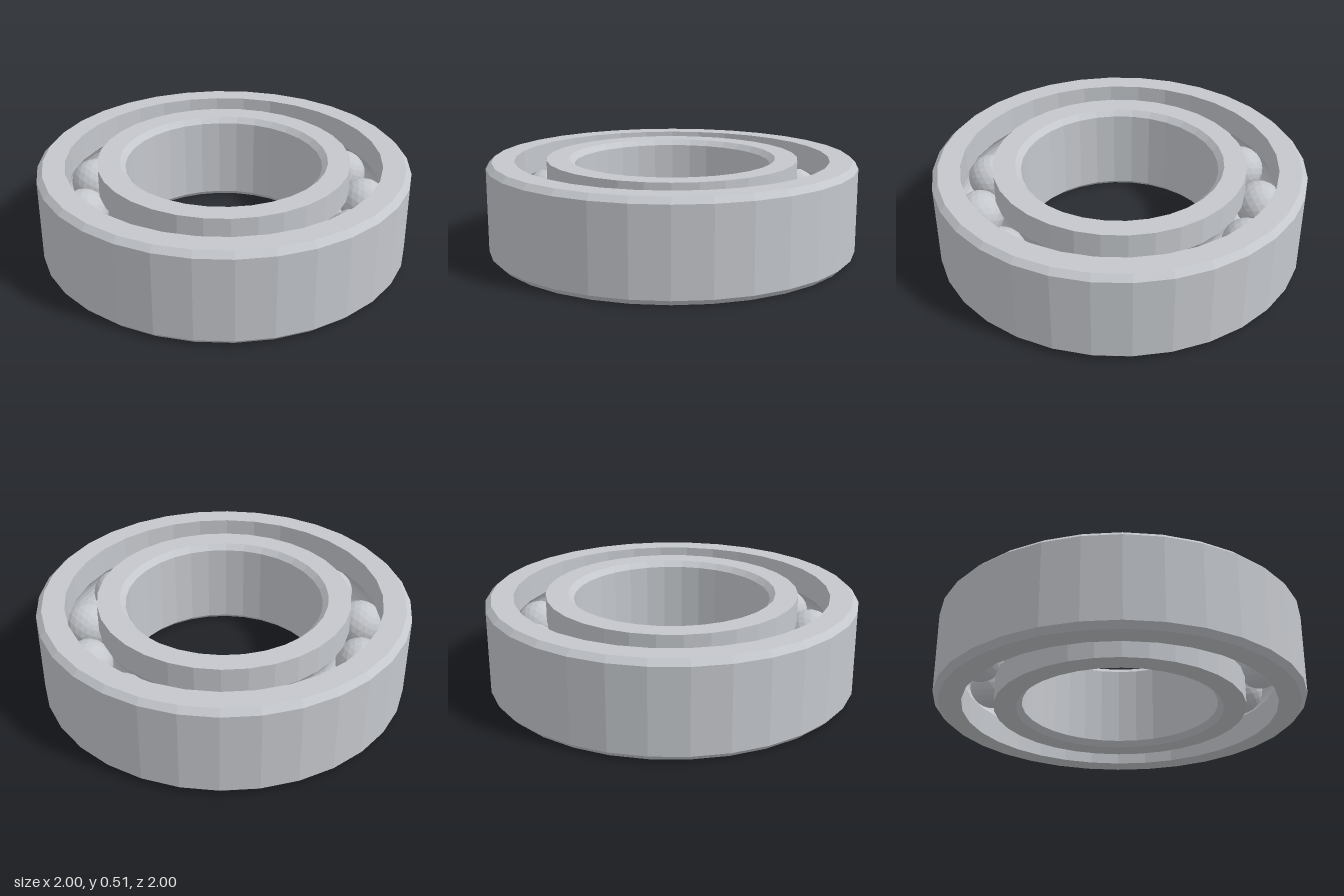
import * as THREE from 'three';

const HEIGHT = 0.51, CHAMFER = 0.03, MID = HEIGHT / 2;
const PITCH = 0.765, BALL_RADIUS = 0.13, BALLS = 13, SIDES = 32;
const OUTER_RADIUS = 1, OUTER_INSIDE = 0.85, INNER_OUTSIDE = 0.68, BORE = 0.53;

// Points of the ball groove on a wall of radius r, running upwards
function groove(r) {
  const radius = BALL_RADIUS + 0.005, side = Math.sign(r - PITCH);
  const half = Math.acos(Math.abs(r - PITCH) / radius);
  const points = [];
  for (let i = 0; i <= 8; i++) {
    const a = -half + (2 * half * i) / 8;
    points.push([PITCH + side * radius * Math.cos(a), MID + radius * Math.sin(a)]);
  }
  return points;
}

// Revolve a closed, counter-clockwise (radius, height) profile
function ring(name, profile, material) {
  const points = [...profile, profile[0]].map(([r, y]) => new THREE.Vector2(r, y));
  const mesh = new THREE.Mesh(new THREE.LatheGeometry(points, SIDES), material);
  mesh.name = name;
  return mesh;
}

export function createModel() {
  const model = new THREE.Group();
  model.name = 'ballBearing';
  const steel = new THREE.MeshStandardMaterial({ color: 0xc4c7cc, flatShading: true });
  steel.name = 'steel';

  // Outer ring: chamfered outside, grooved inside
  model.add(ring('outerRing', [
    [OUTER_INSIDE, 0],
    [OUTER_RADIUS - CHAMFER, 0],
    [OUTER_RADIUS, CHAMFER],
    [OUTER_RADIUS, HEIGHT - CHAMFER],
    [OUTER_RADIUS - CHAMFER, HEIGHT],
    [OUTER_INSIDE, HEIGHT],
    ...groove(OUTER_INSIDE).reverse(),
  ], steel));

  // Inner ring: grooved outside, chamfered bore
  model.add(ring('innerRing', [
    [BORE + CHAMFER, 0],
    [INNER_OUTSIDE, 0],
    ...groove(INNER_OUTSIDE),
    [INNER_OUTSIDE, HEIGHT],
    [BORE + CHAMFER, HEIGHT],
    [BORE, HEIGHT - CHAMFER],
    [BORE, CHAMFER],
  ], steel));

  // Balls spaced evenly between the rings
  const balls = new THREE.Group();
  balls.name = 'balls';
  const ballGeometry = new THREE.IcosahedronGeometry(BALL_RADIUS, 3);
  for (let i = 0; i < BALLS; i++) {
    const a = (i / BALLS) * Math.PI * 2;
    const ball = new THREE.Mesh(ballGeometry, steel);
    ball.name = 'ball';
    ball.position.set(PITCH * Math.cos(a), MID, PITCH * Math.sin(a));
    balls.add(ball);
  }
  model.add(balls);
  return model;
}
